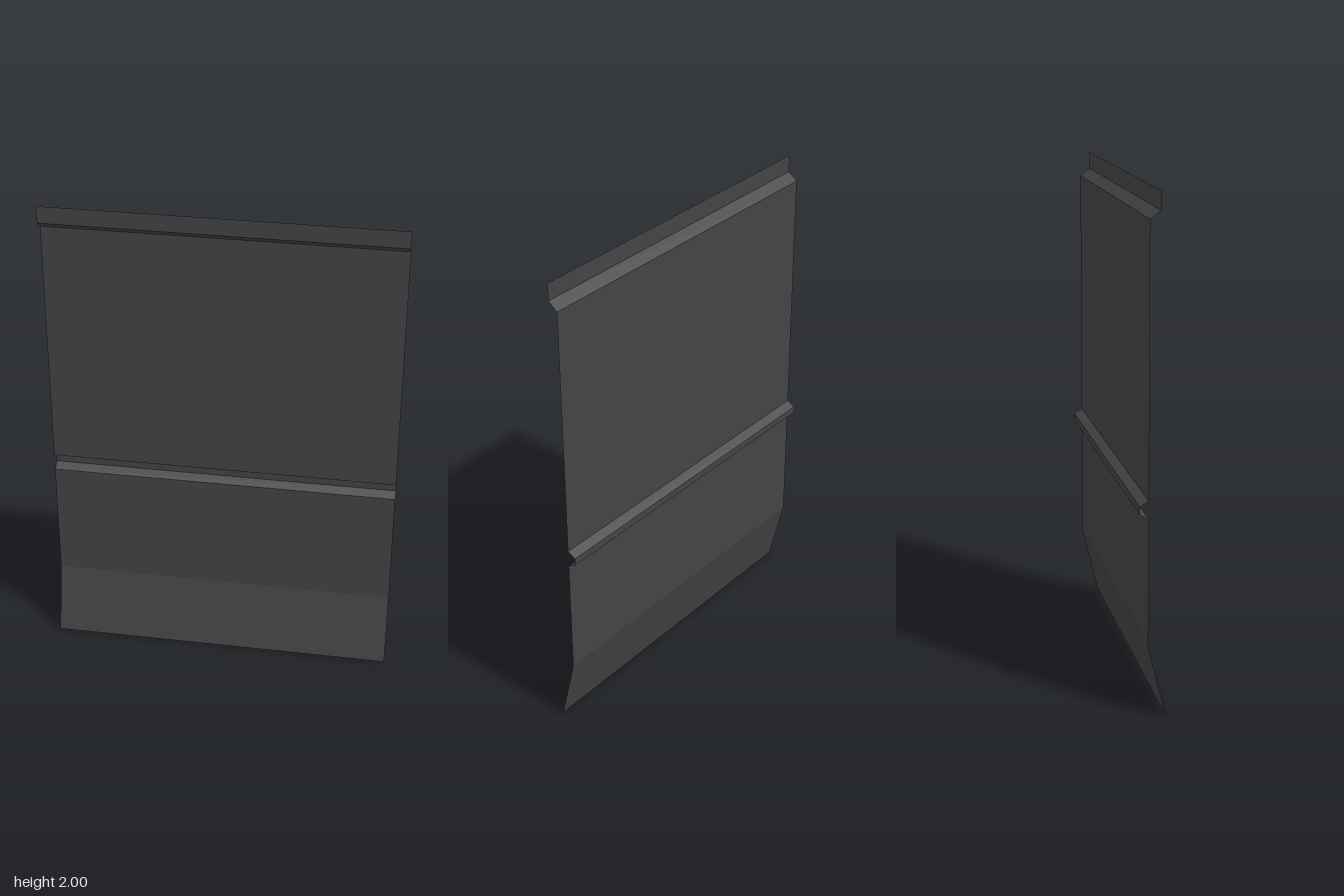
import * as THREE from 'three';

const WIDTH = 1.425;
const material = new THREE.MeshStandardMaterial({
  color: 0x444444, side: THREE.DoubleSide, flatShading: true,
});

// Thin sheet folded along x, following [y, z] points from top to bottom
function foldedSheet(name, profile) {
  const geometry = new THREE.PlaneGeometry(WIDTH, 1, 1, profile.length - 1);
  const position = geometry.attributes.position;
  for (let i = 0; i < position.count; i++) {
    const [y, z] = profile[Math.floor(i / 2)];
    position.setY(i, y);
    position.setZ(i, z);
  }
  const flat = geometry.toNonIndexed(); // keeps every fold sharp
  flat.computeVertexNormals();
  const mesh = new THREE.Mesh(flat, material);
  mesh.name = name;
  return mesh;
}

export function createModel() {
  const model = new THREE.Group();
  model.name = 'foldedPanel';
  const face = -0.02; // z of the main panel

  model.add(
    // Lip standing forward of the panel, with its sloping step
    foldedSheet('topFlange', [[2, 0.02], [1.93, 0.02], [1.9, face]]),
    foldedSheet('upperPanel', [[1.9, face], [0.86, face]]),
    // Channel pressed towards the back
    foldedSheet('groove', [[0.86, face], [0.84, -0.054], [0.81, -0.054], [0.79, face]]),
    foldedSheet('lowerPanel', [[0.79, face], [0.29, face]]),
    // Bottom edge flaring forward
    foldedSheet('skirt', [[0.29, face], [0, 0.05]]),
  );
  return model;
}
